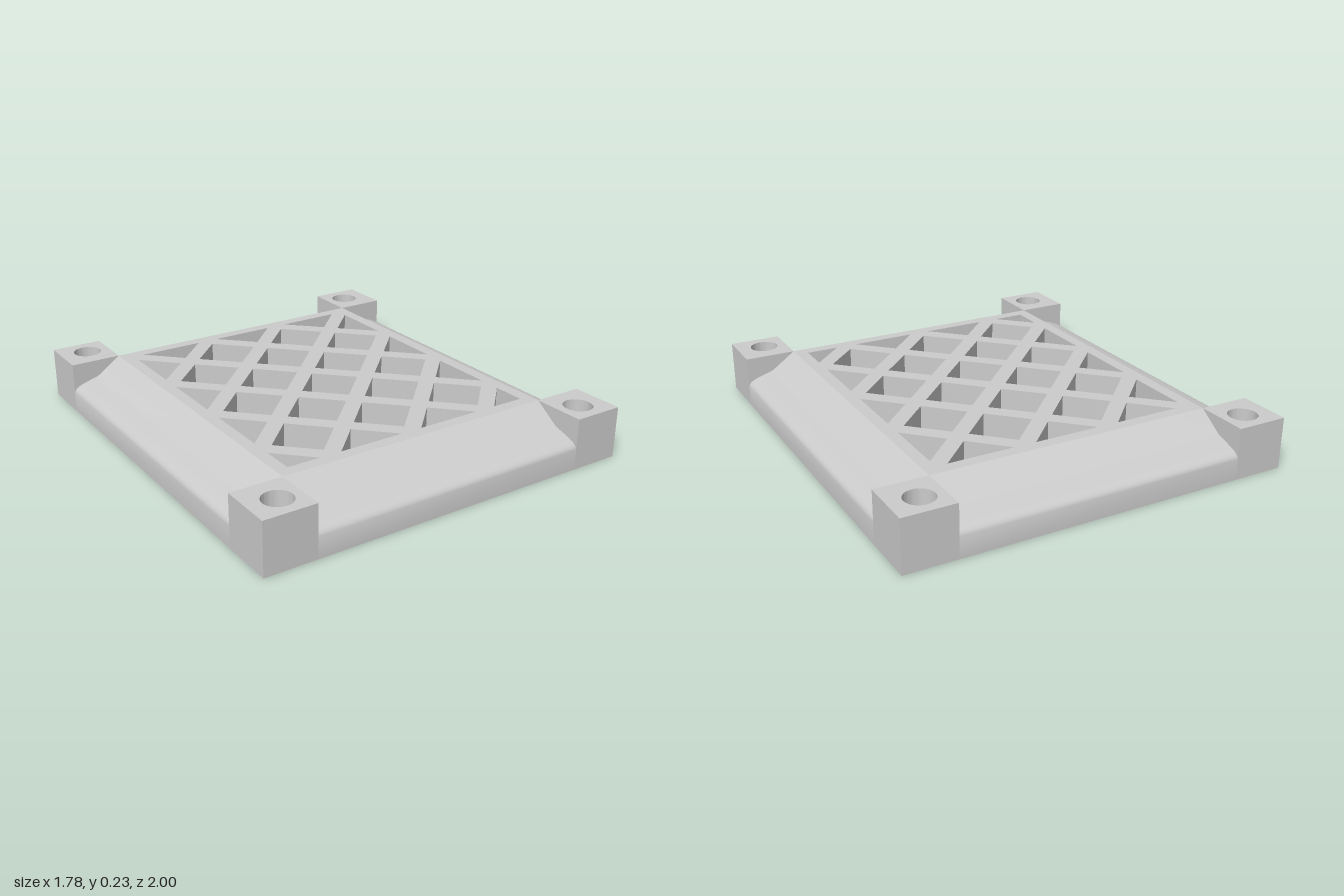
import * as THREE from 'three';
import { toCreasedNormals } from 'three/addons/utils/BufferGeometryUtils.js';

const W = 0.89, D = 1, H = 0.235;      // outer half width, half depth, height
const IX = 0.655, IZ = 0.755;          // inner plate half size
const OX = 0.6, OZ = 0.7;              // lattice opening half size
const LIP = 0.095;                     // height of the outer edge
const mat = new THREE.MeshStandardMaterial({ color: 0xcccccc });

function add(parent, name, geo, x = 0, y = 0, z = 0) {
  const mesh = new THREE.Mesh(geo, mat);
  mesh.name = name;
  mesh.position.set(x, y, z);
  parent.add(mesh);
  return mesh;
}

function rectangle(a, b) {
  return new THREE.Shape([[-a, -b], [a, -b], [a, b], [-a, b]].map(p => new THREE.Vector2(...p)));
}

// Extrude a plan shape (x, -z) upwards
function raise(shape, height) {
  const geo = new THREE.ExtrudeGeometry(shape, { depth: height, bevelEnabled: false, curveSegments: 24 });
  return toCreasedNormals(geo.rotateX(-Math.PI / 2), 0.5);
}

// Keep the part of a polygon where s * p[axis] <= limit
function clip(points, axis, s, limit) {
  const out = [];
  points.forEach((p, i) => {
    const q = points[(i + 1) % points.length];
    const dp = s * p[axis] - limit, dq = s * q[axis] - limit;
    if (dp <= 0) out.push(p);
    if (dp * dq < 0) out.push(p.clone().lerp(q, dp / (dp - dq)));
  });
  return out;
}

// Plate pierced by diamonds, clipped to the opening, leaving diagonal bars
function latticePlate() {
  const shape = rectangle(IX, IZ), r = 0.15;
  for (let i = -3; i <= 3; i++) {
    for (let j = -3; j <= 6; j++) {
      if ((i + j) % 2 !== 0) continue;
      const x = i * 0.2, y = 0.3 - j * 0.2;
      let pts = [[r, 0], [0, r], [-r, 0], [0, -r]].map(([a, b]) => new THREE.Vector2(x + a, y + b));
      for (const s of [-1, 1]) {
        pts = clip(pts, 'x', s, OX);
        pts = clip(pts, 'y', s, OZ);
      }
      if (pts.length > 2 && Math.abs(THREE.ShapeUtils.area(pts)) > 0.001) {
        shape.holes.push(new THREE.Path(pts));
      }
    }
  }
  return raise(shape, H);
}

// Edge rail: a slope that flattens and then rolls over to the outer face
function edgeRail(width, length) {
  const s = new THREE.Shape();
  s.moveTo(0, 0);
  s.lineTo(width, 0);
  s.lineTo(width, LIP);
  s.bezierCurveTo(width * 0.97, 0.125, width * 0.8, 0.132, width * 0.48, 0.155);
  s.lineTo(0, H);
  const geo = new THREE.ExtrudeGeometry(s, { depth: length, bevelEnabled: false, curveSegments: 8 });
  return toCreasedNormals(geo.translate(0, 0, -length / 2), 0.5);
}

export function createModel() {
  const model = new THREE.Group();
  model.name = 'ventGrille';

  add(model, 'latticePlate', latticePlate());

  // Four sloped rails, turned round the plate
  ['rightRail', 'frontRail', 'leftRail', 'backRail'].forEach((railName, k) => {
    const onX = k % 2 === 0;
    const geo = onX ? edgeRail(W - IX, 2 * IZ) : edgeRail(D - IZ, 2 * IX);
    const side = new THREE.Group();
    side.name = railName + 'Side';
    side.rotation.y = -k * Math.PI / 2;
    add(side, railName, geo, onX ? IX : IZ);
    model.add(side);
  });

  // Corner blocks with blind round holes
  const holeX = 0.76, holeZ = 0.89, holeR = 0.065, floor = 0.03;
  const cx = (W + IX) / 2, cz = (D + IZ) / 2;
  for (const sx of [-1, 1]) {
    for (const sz of [-1, 1]) {
      const block = rectangle((W - IX) / 2, (D - IZ) / 2);
      const hole = new THREE.Path();
      hole.absarc(sx * (holeX - cx), -sz * (holeZ - cz), holeR, 0, Math.PI * 2);
      block.holes.push(hole);
      add(model, 'cornerBlock', raise(block, H - floor), sx * cx, floor, sz * cz);
      add(model, 'cornerFoot', new THREE.BoxGeometry(W - IX, floor, D - IZ), sx * cx, floor / 2, sz * cz);
    }
  }
  return model;
}
